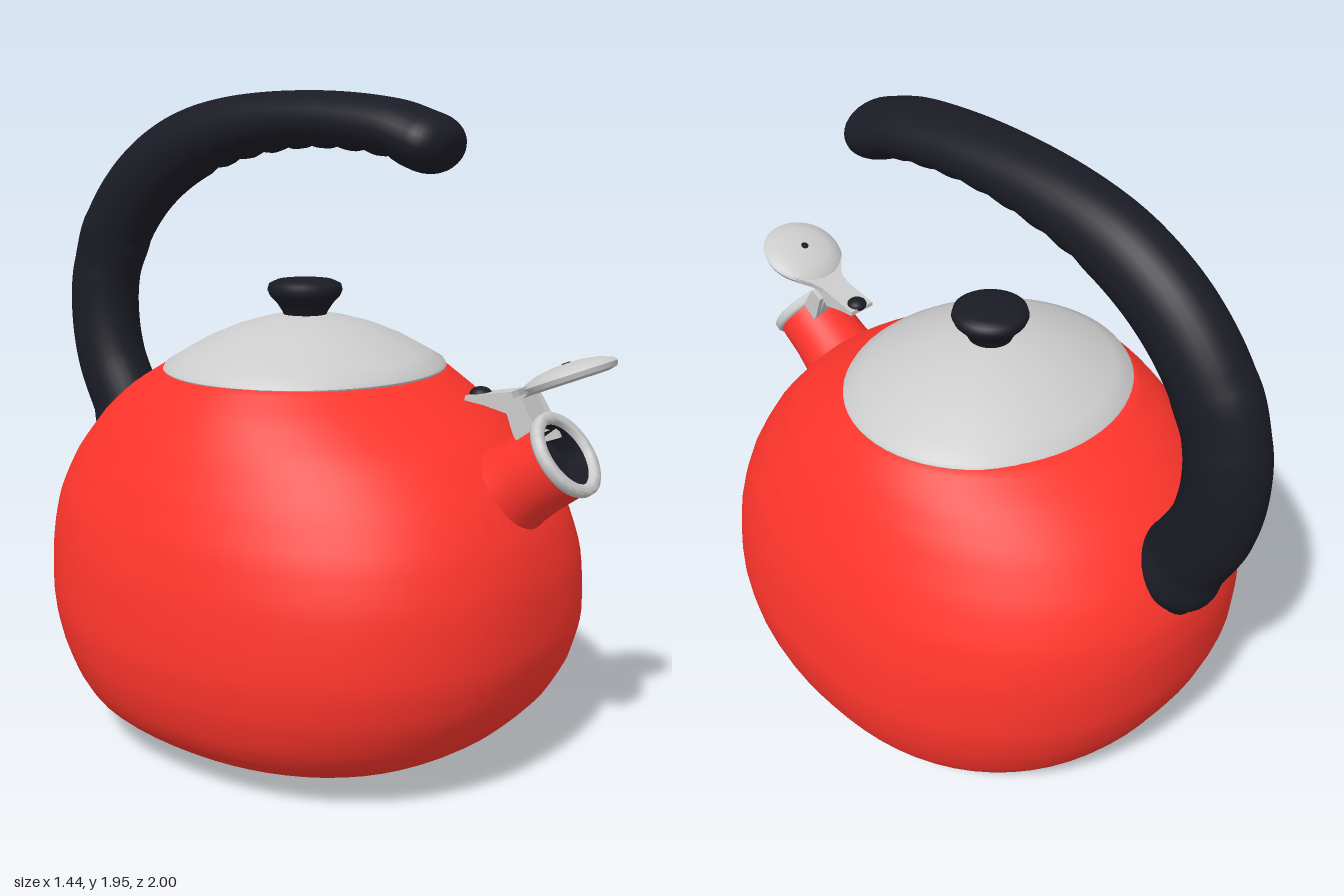
import * as THREE from 'three';
import { toCreasedNormals } from 'three/addons/utils/BufferGeometryUtils.js';

const V = (x, y, z) => new THREE.Vector3(x, y, z);
const mat = (color) => new THREE.MeshStandardMaterial({ color });

function add(parent, name, geometry, material) {
  const mesh = new THREE.Mesh(geometry, material);
  mesh.name = name;
  parent.add(mesh);
  return mesh;
}

// Smooth closed skin over rings of points, with a centre point at each end
function loft(rings) {
  const n = rings[0].length, pos = [], index = [];
  rings.forEach((r) => r.forEach((p) => pos.push(p.x, p.y, p.z)));
  for (let j = 0; j < rings.length - 1; j++) {
    for (let i = 0; i < n; i++) {
      const a = j * n + i, b = j * n + (i + 1) % n;
      index.push(a, b, b + n, a, b + n, a + n);
    }
  }
  [0, rings.length - 1].forEach((j, end) => {
    const c = rings[j].reduce((s, p) => s.add(p), V(0, 0, 0)).divideScalar(n);
    const k = pos.length / 3;
    pos.push(c.x, c.y, c.z);
    for (let i = 0; i < n; i++) {
      const a = j * n + i, b = j * n + (i + 1) % n;
      if (end) index.push(a, b, k); else index.push(b, a, k);
    }
  });
  const g = new THREE.BufferGeometry();
  g.setAttribute('position', new THREE.Float32BufferAttribute(pos, 3));
  g.setIndex(index);
  g.computeVertexNormals();
  return g;
}

const lathe = (pts, segments = 48) =>
  new THREE.LatheGeometry(pts.map(([r, y]) => new THREE.Vector2(r, y)), segments);

// Side profile given as [z, y], extruded across x
function sideSlab(pts, width, x = 0) {
  const shape = new THREE.Shape(pts.map(([z, y]) => new THREE.Vector2(z, y)));
  const g = new THREE.ExtrudeGeometry(shape, { depth: width, bevelEnabled: false });
  return g.translate(0, 0, -width / 2).rotateY(-Math.PI / 2).translate(x, 0, 0);
}

// Body: superellipse sections, full at the belly and oval under the lid
function bodyGeometry() {
  // y, half width, front z, back z
  const stations = [
    [0.0, 0.12, 0.12, 0.15], [0.012, 0.28, 0.28, 0.33], [0.035, 0.45, 0.46, 0.48],
    [0.08, 0.575, 0.61, 0.62], [0.14, 0.645, 0.7, 0.69], [0.2, 0.68, 0.755, 0.73],
    [0.3, 0.71, 0.81, 0.78], [0.43, 0.72, 0.84, 0.82], [0.6, 0.7, 0.835, 0.835],
    [0.73, 0.67, 0.805, 0.825], [0.85, 0.625, 0.745, 0.775], [0.97, 0.57, 0.64, 0.68],
    [1.06, 0.515, 0.51, 0.57], [1.14, 0.445, 0.385, 0.43],
  ];
  const size = new THREE.CatmullRomCurve3(stations.map((s) => V(s[1], s[2], s[3])));
  const height = new THREE.CatmullRomCurve3(stations.map((s) => V(0, s[0], 0)));
  const rings = [];
  for (let j = 0; j <= 52; j++) {
    const s = size.getPoint(j / 52), y = Math.max(0, height.getPoint(j / 52).y);
    const full = 1 - THREE.MathUtils.smoothstep(y, 0.5, 1.1);
    const ring = [];
    for (let i = 0; i < 72; i++) {
      const a = (i / 72) * Math.PI * 2, sn = Math.sin(a), cs = Math.cos(a);
      const n = 2 + full * (0.27 + 0.1 * cs);
      const r = (Math.abs(sn) ** n + Math.abs(cs) ** n) ** (-1 / n);
      ring.push(V(s.x * sn * r, y, cs * r * (cs > 0 ? s.y : s.z)));
    }
    rings.push(ring);
  }
  return loft(rings);
}

// Handle: oval sweep with a rounded tip and finger grips on the underside
function handleGeometry() {
  // z, y, half width, half thickness
  const stations = [
    [0.42, 1.8, 0.128, 0.085], [0.3, 1.838, 0.124, 0.083], [0, 1.863, 0.114, 0.084],
    [-0.3, 1.833, 0.107, 0.1], [-0.5, 1.773, 0.106, 0.112], [-0.67, 1.668, 0.106, 0.118],
    [-0.8, 1.52, 0.106, 0.12], [-0.868, 1.36, 0.106, 0.12], [-0.88, 1.22, 0.107, 0.12],
    [-0.855, 1.07, 0.109, 0.12], [-0.79, 0.93, 0.11, 0.122], [-0.735, 0.82, 0.11, 0.122],
    [-0.7, 0.75, 0.1, 0.112],
  ];
  const path = new THREE.CatmullRomCurve3(stations.map((s) => V(0, s[1], s[0])));
  const radii = new THREE.CatmullRomCurve3(stations.map((s) => V(s[2], s[3], 0)));
  const rings = [];
  const addRing = (c, t, rx, ry, dent) => {
    const ring = [];
    for (let i = 0; i < 32; i++) {
      const a = (i / 32) * Math.PI * 2, cs = Math.cos(a);
      const r = ry * cs + (cs < 0 ? dent * cs * cs : 0);
      ring.push(V(rx * Math.sin(a), c.y - t.z * r, c.z + t.y * r));
    }
    rings.push(ring);
  };
  const start = path.getPoint(0), dir = path.getTangent(0), r0 = radii.getPoint(0);
  for (let k = 1; k < 8; k++) {
    const a = (k / 8) * Math.PI / 2, f = Math.sin(a) ** 0.75;
    addRing(start.clone().addScaledVector(dir, -0.085 * Math.cos(a)), dir, r0.x * f, r0.y * f, 0);
  }
  for (let j = 0; j <= 150; j++) {
    const c = path.getPoint(j / 150), r = radii.getPoint(j / 150);
    const gripped = c.z < 0.38 && c.z > -0.46;
    const dent = gripped ? 0.018 * (1 - Math.abs(Math.cos((c.z - 0.38) * Math.PI / 0.105))) : 0;
    addRing(c, path.getTangent(j / 150), r.x, r.y, dent);
  }
  return loft(rings);
}

export function createModel() {
  const kettle = new THREE.Group();
  kettle.name = 'kettle';
  const red = mat(0xff352c), dark = mat(0x1b1b25), grey = mat(0xcccccc);

  add(kettle, 'body', bodyGeometry(), red);
  add(kettle, 'handle', handleGeometry(), dark);

  // Oval domed lid and its knob
  const lid = add(kettle, 'lid', toCreasedNormals(lathe([
    [0, 1.125], [0.99, 1.125], [1, 1.135], [0.985, 1.146], [0.87, 1.175], [0.7, 1.216],
    [0.5, 1.252], [0.3, 1.277], [0.14, 1.289], [0, 1.291],
  ], 64), 0.7), grey);
  lid.scale.set(0.453, 1, 0.418);
  lid.position.z = -0.012;
  const knob = add(kettle, 'lidKnob', lathe([
    [0.06, 1.27], [0.068, 1.295], [0.084, 1.32], [0.107, 1.345], [0.114, 1.362],
    [0.109, 1.38], [0.085, 1.391], [0.045, 1.396], [0, 1.397],
  ]), dark);
  knob.position.z = -0.015;

  // Spout, tilted forwards, with its origin at the mouth
  const spout = new THREE.Group();
  spout.name = 'spout';
  spout.position.set(0, 0.99, 0.885);
  spout.rotation.x = 0.927;
  kettle.add(spout);
  add(spout, 'spoutTube', lathe([
    [0.145, -0.27], [0.132, -0.23], [0.123, -0.19], [0.118, -0.13], [0.117, -0.02],
  ]), red);
  add(spout, 'spoutRim', toCreasedNormals(lathe([
    [0.112, -0.034], [0.122, -0.032], [0.127, -0.024], [0.127, -0.006], [0.121, 0],
    [0.1, 0], [0.095, -0.005], [0.094, -0.025],
  ]), 0.9), grey);
  add(spout, 'spoutHole', toCreasedNormals(lathe([[0.094, -0.02], [0.092, -0.08], [0, -0.08]]), 0.9), dark);

  // Hinged flap over the mouth, with a neck narrowing to the lever
  const flap = new THREE.Group();
  flap.name = 'flap';
  flap.position.set(0, 1.195, 0.876);
  flap.rotation.x = -0.4;
  kettle.add(flap);
  add(flap, 'flapDisc', toCreasedNormals(lathe([
    [0, -0.014], [0.1, -0.016], [0.125, -0.01], [0.131, 0.003], [0.123, 0.014],
    [0.085, 0.028], [0.04, 0.035], [0, 0.036],
  ]), 0.7), grey);
  add(flap, 'flapVent', new THREE.CylinderGeometry(0.012, 0.012, 0.053, 16).translate(0, 0.0115, 0), dark);
  const neck = new THREE.Shape([[-0.045, 0.16], [-0.06, 0.13], [-0.1, 0.08], [0.1, 0.08], [0.06, 0.13],
    [0.045, 0.16]].map(([x, y]) => new THREE.Vector2(x, y)));
  add(flap, 'flapNeck', new THREE.ExtrudeGeometry(neck, { depth: 0.018, bevelEnabled: false })
    .rotateX(-Math.PI / 2).translate(0, -0.008, 0), grey);

  // Lever, thumb button and hinge bracket
  add(kettle, 'flapLever', sideSlab([
    [0.78, 1.165], [0.73, 1.143], [0.62, 1.12], [0.58, 1.113], [0.58, 1.1], [0.64, 1.094],
    [0.71, 1.08], [0.75, 1.12], [0.78, 1.145],
  ], 0.09), grey);
  const button = add(kettle, 'leverButton', new THREE.SphereGeometry(0.032, 24, 12), dark);
  button.scale.y = 0.65;
  button.position.set(0, 1.115, 0.605);
  add(kettle, 'hingePost', sideSlab([[0.755, 1.14], [0.712, 1.11], [0.755, 1.02], [0.8, 1.03]], 0.09), grey);
  [-1, 1].forEach((s) => add(kettle, s > 0 ? 'leftHingeCheek' : 'rightHingeCheek', sideSlab([
    [0.755, 1.13], [0.715, 1.11], [0.745, 1.03], [0.775, 0.99], [0.825, 1.01], [0.81, 1.045],
  ], 0.016, s * 0.058), grey));
  return kettle;
}
